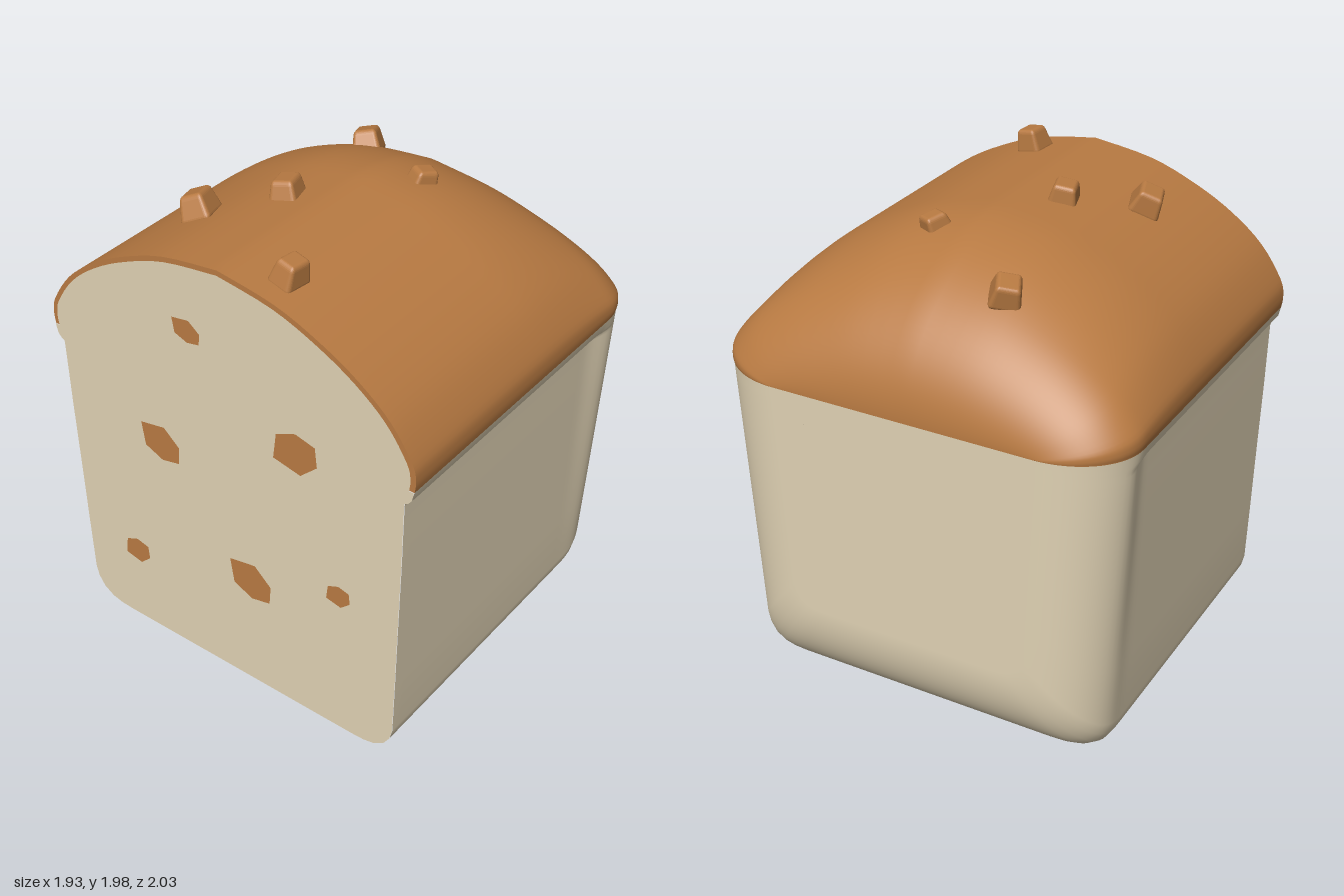
import * as THREE from 'three';
import { RoundedBoxGeometry } from 'three/addons/geometries/RoundedBoxGeometry.js';

const LENGTH = 1.55;   // along local x, cut face at x = 0
const SEAM = 1.36;     // height where the crust begins

const material = (name, color) => {
  const m = new THREE.MeshStandardMaterial({ color });
  m.name = name;
  return m;
};

// Half cross-section as (half width, height), from bottom centre to top centre
const spline = (pts, n) => new THREE.SplineCurve(pts.map(p => new THREE.Vector2(...p))).getPoints(n);
const bodyHalf = [
  [0, 0], [0.3, 0], [0.58, 0], [0.64, 0.003], [0.69, 0.015], [0.735, 0.045], [0.763, 0.09], [0.775, 0.14],
  [0.783, 0.4], [0.791, 0.7], [0.8, 1.0], [0.804, 1.2], [0.806, 1.28], [0.807, 1.295], [0.822, 1.303],
  [0.836, 1.32], [0.845, SEAM],
].map(p => new THREE.Vector2(...p));
const crustHalf = spline([
  [0.845, SEAM], [0.85, 1.41], [0.833, 1.48], [0.743, 1.61], [0.61, 1.72], [0.448, 1.81], [0.25, 1.885], [0, 1.925],
], 28);
const mirror = half => half.slice(0, -1).reverse().map(p => new THREE.Vector2(-p.x, p.y));
const bodyLeft = bodyHalf.slice(1).reverse().map(p => new THREE.Vector2(-p.x, p.y));
const crustArch = [...crustHalf, ...mirror(crustHalf)];
const section = [...bodyHalf, ...crustArch.slice(1, -1), ...bodyLeft];

// Quarter-ellipse falloff from 1 to 0 between start and the far end
const round = (u, start) => {
  const s = THREE.MathUtils.clamp((u - start) / (LENGTH - start), 0, 1);
  return Math.sqrt(Math.max(0, 1 - s * s));
};

// Point of the cross-section at distance u, rounded towards the far end
function loafPoint(p, u) {
  let w = Math.abs(p.x);
  if (p.y > 0.14 && p.y < SEAM) {
    const smoothSide = 0.775 + 0.07 * (p.y - 0.14) / (SEAM - 0.14);
    w = THREE.MathUtils.lerp(w, smoothSide, THREE.MathUtils.smoothstep(u, 1.2, 1.38));
  }
  w *= 1 - 0.36 * (1 - round(u, 1.3));
  const y = p.y > SEAM
    ? SEAM + (p.y - SEAM) * round(u, 0.8)
    : SEAM + (p.y - SEAM) * (1 - 0.3 * (1 - round(u, 1.24)));
  return [u, y, Math.sign(p.x) * w];
}

// Lofted skin: cream sides and end, brown crust
function loafGeometry() {
  const steps = 48, n = section.length;
  const position = [], cream = [], brown = [];
  for (let i = 0; i <= steps; i++) {
    const u = LENGTH * Math.sin(i / steps * Math.PI / 2);
    section.forEach(p => position.push(...loafPoint(p, u)));
  }
  position.push(LENGTH, 0.88, 0);
  const centre = (steps + 1) * n;
  const seamStart = bodyHalf.length - 1;
  const seamEnd = seamStart + crustArch.length - 1;
  for (let j = 0; j < n; j++) {
    const k = (j + 1) % n;
    if (k === 0 && section[j].x === 0) continue;
    const list = j >= seamStart && j < seamEnd ? brown : cream;
    for (let i = 0; i < steps; i++) {
      const a = i * n + j, b = a + n, d = i * n + k, c = d + n;
      list.push(a, b, c, a, c, d);
    }
    cream.push(centre, steps * n + k, steps * n + j);
  }
  const g = new THREE.BufferGeometry();
  g.setAttribute('position', new THREE.Float32BufferAttribute(position, 3));
  g.setIndex([...cream, ...brown]);
  g.addGroup(0, cream.length, 0);
  g.addGroup(cream.length, brown.length, 1);
  g.computeVertexNormals();
  return g;
}

export function createModel() {
  const cream = material('cream bread', 0xe0d2b4);
  const brown = material('brown crust', 0xb87a42);
  const model = new THREE.Group();
  model.name = 'breadLoaf';
  const loaf = new THREE.Group();
  loaf.name = 'loafAssembly';
  loaf.rotation.y = 0.3217;
  loaf.position.set(-0.695, 0, 0.195);
  model.add(loaf);

  const add = (name, geometry, mat) => {
    const mesh = new THREE.Mesh(geometry, mat);
    mesh.name = name;
    loaf.add(mesh);
    return mesh;
  };
  // Flat outline on the cut face, looking along -x
  const cutPlate = (name, points, x, mat) => {
    const g = new THREE.ShapeGeometry(new THREE.Shape(points));
    g.rotateY(-Math.PI / 2).translate(x, 0, 0);
    return add(name, g, mat);
  };

  add('loafSkin', loafGeometry(), [cream, brown]);

  // Cut face: crust rim behind a slightly smaller crumb
  cutPlate('crustRim', crustArch, 0, brown);
  const innerArch = crustArch.map(p => new THREE.Vector2(p.x * 0.975, SEAM + (p.y - SEAM) * 0.965));
  cutPlate('crumbFace', [...bodyHalf, ...innerArch, ...bodyLeft], -0.003, cream);

  // Brown pieces in the crumb: sideways, height, width, tall
  const outline = [[-0.42, 0.28], [0.02, 0.5], [0.46, 0.38], [0.5, -0.1], [0.12, -0.5], [-0.5, -0.36]];
  [
    [-0.16, 1.61, 0.13, 0.1], [0.33, 1.285, 0.2, 0.18], [-0.33, 1.02, 0.19, 0.165],
    [0.52, 0.7, 0.11, 0.1], [0.095, 0.54, 0.2, 0.18], [-0.51, 0.375, 0.13, 0.12],
  ].forEach(([v, y, w, h], i) => {
    const flip = i % 2 ? 1 : -1;
    const pts = outline.map(([a, b]) => new THREE.Vector2(v + a * w, y + flip * b * h));
    cutPlate('crumbPiece', pts, -0.006, brown);
  });

  // Tapered chunks on the crust: along, height, sideways, size, turn, tilt
  [
    [0.373, 1.868, -0.41, 0.145, 0.35, -0.42],
    [0.585, 1.918, -0.16, 0.135, 0.3, -0.18],
    [1.234, 1.805, -0.27, 0.14, 0.5, -0.3],
    [1.0, 1.878, 0.157, 0.115, -0.5, 0.15],
    [0.146, 1.93, 0.21, 0.125, -0.1, 0.18],
  ].forEach(([u, y, v, size, turn, tilt]) => {
    const g = new RoundedBoxGeometry(size, 0.1, size * 0.88, 3, 0.018);
    const pos = g.attributes.position;
    for (let i = 0; i < pos.count; i++) {
      const k = 0.86 - pos.getY(i) * 3;
      pos.setX(i, pos.getX(i) * k + pos.getY(i) * 0.12);
      pos.setZ(i, pos.getZ(i) * k);
    }
    g.computeVertexNormals();
    g.rotateY(turn);
    const chunk = add('crustChunk', g, brown);
    chunk.position.set(u, y, v);
    chunk.rotation.x = tilt;
    chunk.rotation.z = u > 0.9 ? -0.15 : 0;
  });

  return model;
}
